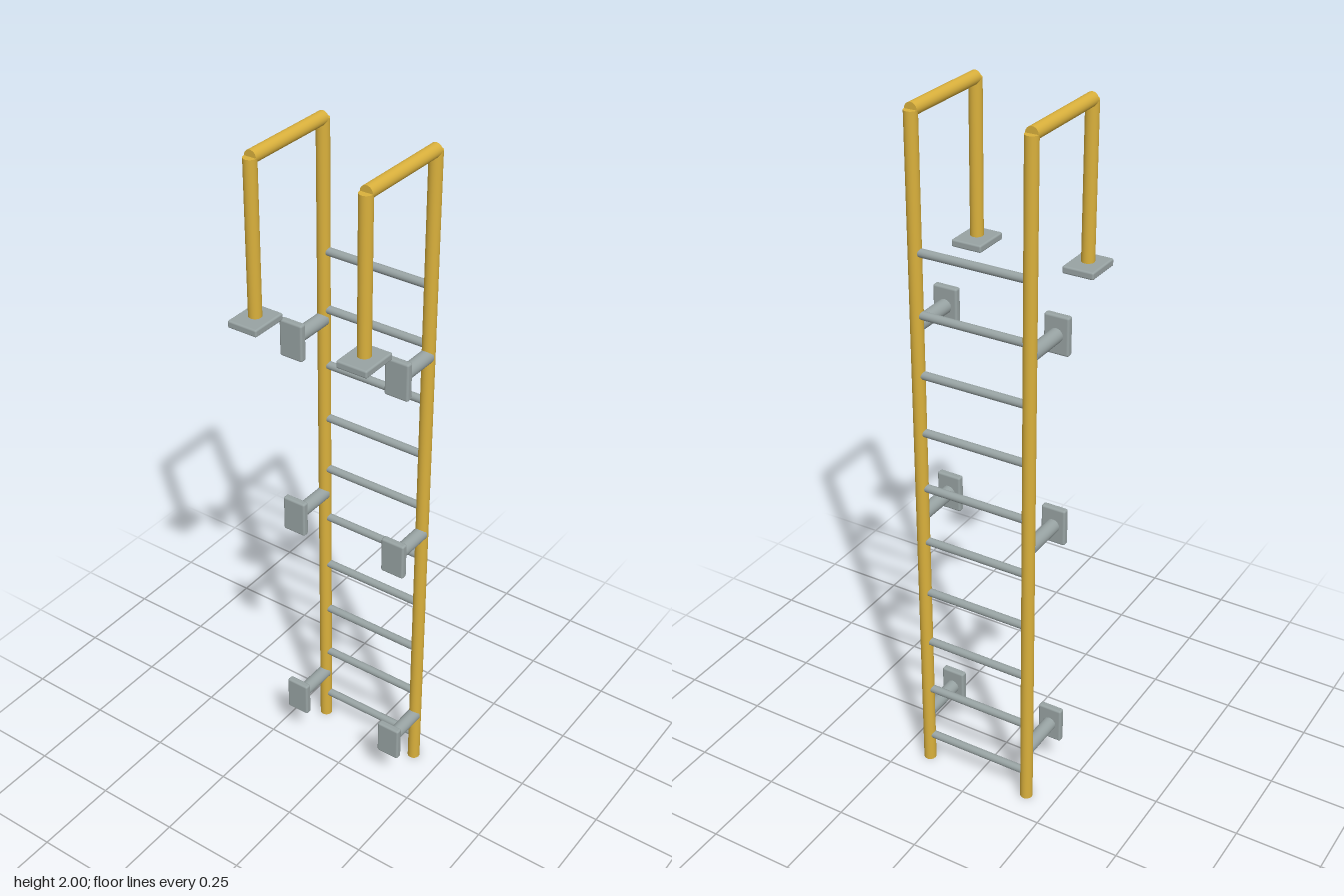
import * as THREE from 'three';
import { RoundedBoxGeometry } from 'three/addons/geometries/RoundedBoxGeometry.js';

const RAIL_X = 0.165, RAIL_Z = -0.165, FRONT_Z = 0.124;
const TUBE_R = 0.018, TOP_Y = 1.982;

const yellow = new THREE.MeshStandardMaterial({ color: 0xd9b03c });
const steel = new THREE.MeshStandardMaterial({ color: 0x98a3a3 });

// Round bar between two points
function bar(name, a, b, radius, material) {
  const from = new THREE.Vector3(...a), to = new THREE.Vector3(...b);
  const dir = to.clone().sub(from);
  const mesh = new THREE.Mesh(new THREE.CylinderGeometry(radius, radius, dir.length(), 32), material);
  mesh.position.copy(from).add(to).multiplyScalar(0.5);
  mesh.quaternion.setFromUnitVectors(new THREE.Vector3(0, 1, 0), dir.normalize());
  mesh.name = name;
  return mesh;
}

// Plate with softened edges
function plate(name, size, position, radius) {
  const mesh = new THREE.Mesh(new RoundedBoxGeometry(...size, 3, radius), steel);
  mesh.position.set(...position);
  mesh.name = name;
  return mesh;
}

export function createModel() {
  const ladder = new THREE.Group();
  ladder.name = 'ladder';

  for (const side of [1, -1]) {
    const x = side * RAIL_X;
    const half = new THREE.Group();
    half.name = side > 0 ? 'leftSide' : 'rightSide';

    // Stile with a handrail bent over the top and down to a foot plate
    half.add(
      bar('stile', [x, 0, RAIL_Z], [x, TOP_Y, RAIL_Z], TUBE_R, yellow),
      bar('topRail', [x, TOP_Y, RAIL_Z], [x, TOP_Y, FRONT_Z], TUBE_R, yellow),
      bar('handrailPost', [x, 1.56, FRONT_Z + 0.001], [x, TOP_Y, FRONT_Z + 0.001], TUBE_R, yellow),
      plate('footPlate', [0.09, 0.021, 0.111], [x, 1.547, 0.125], 0.005)
    );

    // Wall brackets: standoff arm and mounting plate
    for (const y of [0.172, 0.853, 1.42]) {
      const bracket = new THREE.Group();
      bracket.name = 'wallBracket';
      bracket.add(
        bar('standoffArm', [x, y, RAIL_Z + 0.005], [x, y, -0.03], 0.02, steel),
        plate('mountingPlate', [0.072, 0.109, 0.021], [x, y, -0.026], 0.006)
      );
      half.add(bracket);
    }
    ladder.add(half);
  }

  // Rungs
  for (let i = 0; i < 10; i++) {
    const y = 0.088 + i * 0.1703;
    ladder.add(bar('rung', [-0.152, y, RAIL_Z], [0.152, y, RAIL_Z], 0.0115, steel));
  }
  return ladder;
}
